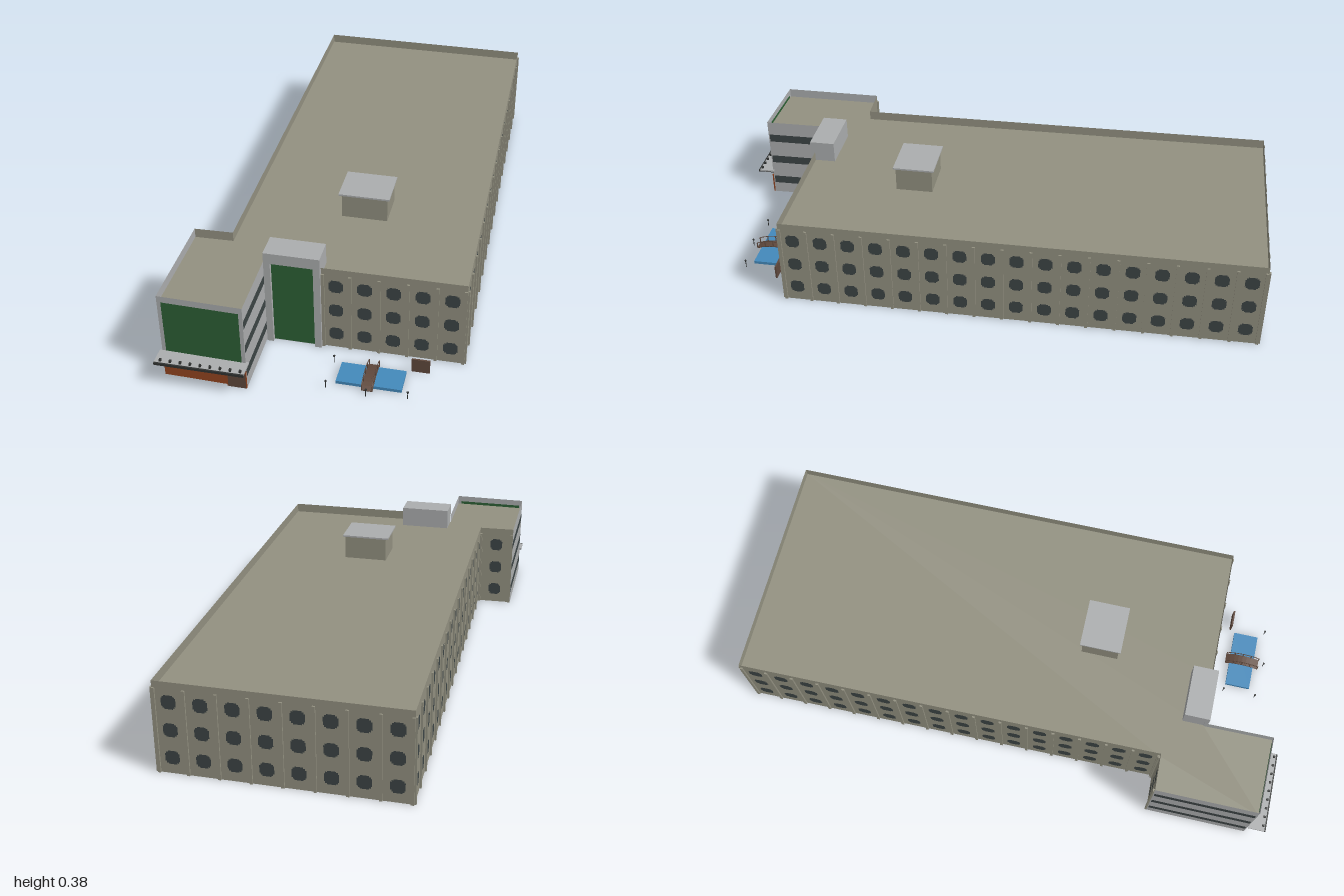
import * as THREE from 'three';

const paint = (name, color) => {
  const m = new THREE.MeshStandardMaterial({ color, side: THREE.DoubleSide });
  m.name = name;
  return m;
};

export function createModel() {
  const stone = paint('stone', 0x929080);
  const concrete = paint('concrete', 0xabadae);
  const glass = paint('glass', 0x3c4445);
  const green = paint('green', 0x2d6035);
  const brick = paint('brick', 0x944520);
  const brown = paint('brown', 0x5f483c);
  const blue = paint('blue', 0x4389bb);
  const dark = paint('dark metal', 0x303231);

  const model = new THREE.Group();
  model.name = 'building';
  const H = 0.323, ROOF = 0.289;

  const add = (name, geo, mat, x = 0, y = 0, z = 0, parent = model) => {
    const m = new THREE.Mesh(geo, mat);
    m.name = name;
    m.position.set(x, y, z);
    parent.add(m);
    return m;
  };
  // box given by its min and max on each axis
  const block = (name, mat, x0, x1, y0, y1, z0, z1, parent) =>
    add(name, new THREE.BoxGeometry(x1 - x0, y1 - y0, z1 - z0), mat,
      (x0 + x1) / 2, (y0 + y1) / 2, (z0 + z1) / 2, parent);

  const rect = (x0, y0, x1, y1) => [[x0, y0], [x1, y0], [x1, y1], [x0, y1]];
  const toPoints = (pts) => pts.map(([x, y]) => new THREE.Vector2(x, y));

  // square window with stepped corners
  const corner = [[0.024, 0.014], [0.020, 0.014], [0.020, 0.020], [0.014, 0.020], [0.014, 0.024]];
  const windowOutline = (cx, cy) => {
    const pts = [];
    for (let q = 0; q < 4; q++) {
      for (const [x, y] of corner) {
        const [px, py] = [[x, y], [-y, x], [-x, -y], [y, -x]][q];
        pts.push([cx + px, cy + py]);
      }
    }
    return pts;
  };

  // upright wall sheet from a to b ([x, z]); panels fill cut-outs in it
  const wall = (name, a, b, mat, panelsFor, panelMat, y0 = 0, y1 = H) => {
    const g = new THREE.Group();
    const dx = b[0] - a[0], dz = b[1] - a[1], len = Math.hypot(dx, dz);
    g.name = name;
    g.position.set(a[0], 0, a[1]);
    g.rotation.y = Math.atan2(-dz, dx);
    model.add(g);
    const panels = panelsFor ? panelsFor(len) : [];
    const face = new THREE.Shape(toPoints(rect(0, y0, len, y1)));
    face.holes = panels.map((p) => new THREE.Path(toPoints(p)));
    add(name + ' surface', new THREE.ShapeGeometry(face), mat, 0, 0, 0, g);
    if (panels.length) {
      add(name + ' panels', new THREE.ShapeGeometry(panels.map((p) => new THREE.Shape(toPoints(p)))),
        panelMat, 0, 0, 0, g);
    }
    return { g, len };
  };

  // wall with three rows of windows, and ribs between the columns
  const windowWall = (name, a, b, cols) => {
    const { g, len } = wall(name, a, b, stone, (l) => {
      const out = [];
      for (let i = 0; i < cols; i++) {
        for (const y of [0.057, 0.155, 0.253]) out.push(windowOutline((i + 0.5) * l / cols, y));
      }
      return out;
    }, glass);
    for (let i = 0; i <= cols; i++) {
      const x = Math.min(Math.max(i * len / cols, 0.005), len - 0.005);
      block('rib', stone, x - 0.005, x + 0.005, 0, 0.3, 0, 0.006, g);
    }
  };

  // wall with three long bands of glass
  const bandWall = (name, a, b) => wall(name, a, b, concrete,
    (l) => [0.043, 0.139, 0.236].map((y) => rect(0.004, y, l - 0.004, y + 0.032)), glass);

  // outline corners, [x, z]
  const backLeft = [-0.355, -0.995], backRight = [0.466, -0.985];
  const frontRight = [0.473, 0.684], frontLeft = [-0.005, 0.687];
  const joint = [-0.34, 0.558], wingBack = [-0.473, 0.562];
  const wingFront = [-0.473, 0.932], wingCorner = [-0.193, 0.938], wingInner = [-0.196, 0.69];

  windowWall('front wall', frontLeft, frontRight, 5);
  windowWall('left wall', frontRight, backRight, 17);
  windowWall('back wall', backRight, backLeft, 8);
  windowWall('right wall', backLeft, joint, 16);
  windowWall('wing back wall', joint, wingBack, 1);
  bandWall('wing outer wall', wingBack, wingFront);
  bandWall('wing inner wall', wingCorner, wingInner);

  // wing front: brick base below a framed green panel
  wall('brick base', wingFront, wingCorner, brick, null, null, 0, 0.1);
  wall('wing front wall', wingFront, wingCorner, concrete,
    (l) => [rect(0.013, 0.102, l - 0.013, 0.3)], green, 0.1, H);
  block('door frame', brick, -0.258, -0.193, 0, 0.079, 0.938, 0.943);
  const door = new THREE.Shape(toPoints([[-0.255, 0], [-0.195, 0], [-0.195, 0.06],
    [-0.205, 0.073], [-0.245, 0.073], [-0.255, 0.06]]));
  add('wing door', new THREE.ShapeGeometry(door), brown, 0, 0, 0.9445);

  // canopy with a row of spotlights
  block('canopy', concrete, -0.481, -0.184, 0.097, 0.103, 0.932, 0.99);
  block('canopy edge', dark, -0.481, -0.184, 0.093, 0.102, 0.99, 0.995);
  block('canopy underside', dark, -0.48, -0.185, 0.094, 0.097, 0.934, 0.99);
  for (let i = 0; i < 9; i++) {
    block('spotlight', dark, -0.465 + i * 0.033, -0.458 + i * 0.033, 0.103, 0.111, 0.979, 0.987);
  }

  // roof sheet below the parapet
  const outline = [backLeft, backRight, frontRight, frontLeft, wingInner, wingCorner,
    wingFront, wingBack, joint].map(([x, z]) => [x, -z]);
  const roofGeo = new THREE.ShapeGeometry(new THREE.Shape(toPoints(outline)));
  roofGeo.rotateX(-Math.PI / 2);
  add('roof', roofGeo, stone, 0, ROOF, 0);

  // entrance tower
  wall('tower front', [-0.193, 0.69], [-0.005, 0.69], concrete,
    (l) => [rect(0.022, 0.001, l - 0.023, 0.322)], green, 0, 0.325);
  block('tower post', concrete, -0.193, -0.171, 0, 0.325, 0.69, 0.703);
  block('tower post', concrete, -0.028, -0.005, 0, 0.325, 0.69, 0.703);
  block('tower top', concrete, -0.193, -0.005, 0.325, 0.365, 0.612, 0.703);
  block('tower top base', concrete, -0.193, -0.005, ROOF, 0.325, 0.612, 0.689);

  // rooftop hut
  block('roof hut', stone, -0.015, 0.145, ROOF, 0.377, 0.205, 0.338);
  block('roof hut slab', concrete, -0.025, 0.153, 0.377, 0.383, 0.197, 0.346);

  // pool with a small arched footbridge
  block('pool', blue, 0.08, 0.296, 0, 0.011, 0.77, 0.862);
  const arch = (y) => new THREE.QuadraticBezierCurve3(
    new THREE.Vector3(0, y, 0.755), new THREE.Vector3(0, y + 0.026, 0.817), new THREE.Vector3(0, y, 0.88));
  const deck = arch(0.004).getPoints(8);
  for (let i = 0; i < 8; i++) {
    const p = deck[i], q = deck[i + 1];
    const plank = add('bridge plank', new THREE.BoxGeometry(0.038, 0.003, p.distanceTo(q) + 0.001), brown,
      0.186, (p.y + q.y) / 2, (p.z + q.z) / 2);
    plank.rotation.x = -Math.atan2(q.y - p.y, q.z - p.z);
  }
  for (const x of [0.169, 0.203]) {
    add('bridge rail', new THREE.TubeGeometry(arch(0.026), 10, 0.0015, 5), brown, x, 0, 0);
    for (const i of [0, 2, 4, 6, 8]) {
      block('rail post', brown, x - 0.0015, x + 0.0015, deck[i].y, deck[i].y + 0.022,
        deck[i].z - 0.0015, deck[i].z + 0.0015);
    }
  }

  // garden lamps
  for (const [x, z] of [[0.053, 0.765], [0.053, 0.887], [0.32, 0.885], [0.187, 0.9]]) {
    add('lamp post', new THREE.CylinderGeometry(0.0015, 0.0015, 0.026, 6), dark, x, 0.013, z);
    add('lamp head', new THREE.CylinderGeometry(0.004, 0.003, 0.005, 8), dark, x, 0.027, z);
  }

  // notice board
  block('notice board', brown, 0.309, 0.37, 0, 0.051, 0.749, 0.755);
  return model;
}
